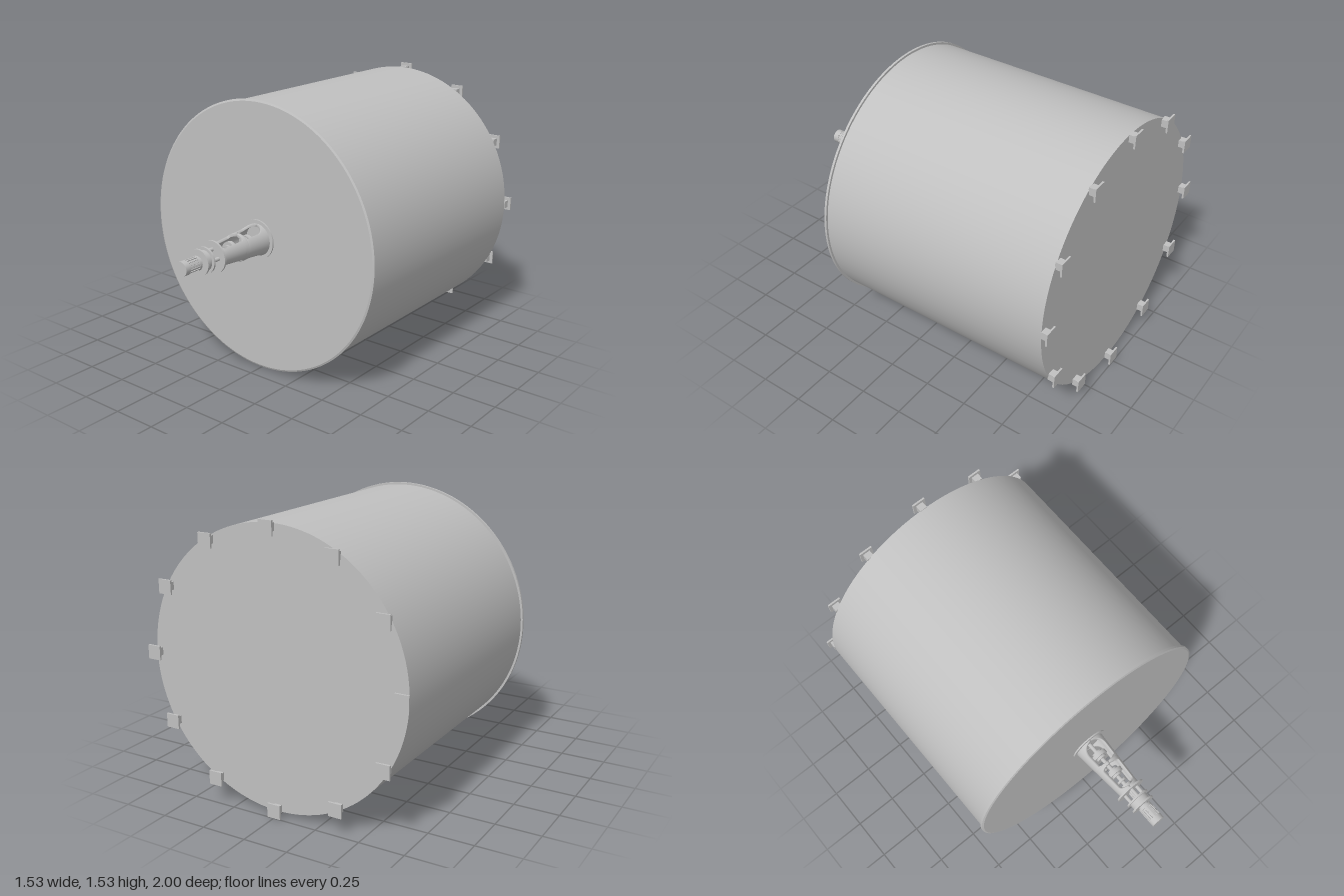
import * as THREE from 'three';

const AXIS_Y = 0.768;
const steel = new THREE.MeshStandardMaterial({ color: 0xc0c0c0 });
steel.name = 'steel grey';
steel.side = THREE.DoubleSide;

// Cylinder running along z between z0 and z1
function disc(name, r, z0, z1, segs = 40, x = 0, y = 0, rFront = r) {
  const g = new THREE.CylinderGeometry(rFront, r, z1 - z0, segs);
  g.rotateX(Math.PI / 2);
  g.translate(x, y, (z0 + z1) / 2);
  const m = new THREE.Mesh(g, steel);
  m.name = name;
  return m;
}

function box(name, w, h, d, x, y, z) {
  const m = new THREE.Mesh(new THREE.BoxGeometry(w, h, d), steel);
  m.name = name;
  m.position.set(x, y, z);
  return m;
}

// Half angle of the lantern openings at z: [start, end, start rounding, end rounding]
const WINDOWS = [[0.435, 0.577, 0.06, 0.015], [0.593, 0.75, 0.015, 0.03]];
function openingAngle(z) {
  for (const [a, b, ra, rb] of WINDOWS) {
    if (z <= a || z >= b) continue;
    const u = Math.min(1, (z - a) / ra, (b - z) / rb);
    return 0.8 * Math.sqrt(1 - (1 - u) ** 2);
  }
  return 0;
}

// One side of the tapered lantern: a C-shaped section swept along z
function lanternSide(side) {
  const z0 = 0.425, z1 = 0.768, rows = 90, arc = 20, wall = 0.014;
  const pos = [], idx = [], n = 2 * (arc + 1);
  for (let i = 0; i <= rows; i++) {
    const z = z0 + (z1 - z0) * i / rows;
    const r = 0.09 - 0.027 * i / rows;
    const w = openingAngle(z);
    for (let k = 0; k < n; k++) {
      const outer = k <= arc;
      const t = outer ? k / arc : (n - 1 - k) / arc;
      const a = w + t * (Math.PI - 2 * w);
      const q = outer ? r : r - wall;
      pos.push(side * q * Math.sin(a), q * Math.cos(a), z);
    }
  }
  for (let i = 0; i < rows; i++) {
    for (let k = 0; k < n; k++) {
      const a = i * n + k, b = i * n + (k + 1) % n, c = a + n, d = b + n;
      if (side > 0) idx.push(a, c, b, b, c, d);
      else idx.push(a, b, c, b, d, c);
    }
  }
  const g = new THREE.BufferGeometry();
  g.setAttribute('position', new THREE.Float32BufferAttribute(pos, 3));
  g.setIndex(idx);
  g.computeVertexNormals();
  const m = new THREE.Mesh(g, steel);
  m.name = side > 0 ? 'lanternSideLeft' : 'lanternSideRight';
  return m;
}

export function createModel() {
  const model = new THREE.Group();
  model.name = 'mixingTank';

  // Tank shell and lid with a bevelled rim
  const tank = new THREE.Group();
  tank.name = 'tank';
  tank.position.y = AXIS_Y;
  tank.add(
    disc('shell', 0.746, -0.955, 0.405, 128),
    disc('lidRim', 0.758, 0.402, 0.415, 128),
    disc('lidBevel', 0.758, 0.415, 0.42, 128, 0, 0, 0.748)
  );
  model.add(tank);

  // Twelve upright feet around the back rim
  const feet = new THREE.Group();
  feet.name = 'feet';
  feet.position.y = AXIS_Y;
  for (let i = 0; i < 12; i++) {
    const a = i * Math.PI / 6, x = 0.729 * Math.cos(a), y = 0.729 * Math.sin(a);
    feet.add(
      box('footPost', 0.042, 0.042, 0.04, x, y, -0.972),
      box('footPlate', 0.076, 0.076, 0.01, x, y, -0.995)
    );
  }
  model.add(feet);

  // Lantern between the lid and the drive
  const lantern = new THREE.Group();
  lantern.name = 'lantern';
  lantern.position.y = AXIS_Y;
  lantern.add(
    disc('baseFlange', 0.11, 0.418, 0.428, 48),
    lanternSide(1),
    lanternSide(-1),
    disc('topFlange', 0.088, 0.765, 0.775, 48)
  );
  model.add(lantern);

  // Shaft with two couplings
  const shaft = new THREE.Group();
  shaft.name = 'shaft';
  shaft.position.y = AXIS_Y;
  shaft.add(disc('shaftRod', 0.012, 0.42, 0.83, 20));
  for (const z of [0.512, 0.642]) {
    shaft.add(
      disc('couplingDisc', 0.047, z - 0.011, z + 0.011, 32),
      disc('couplingHub', 0.03, z - 0.024, z + 0.024, 32)
    );
  }
  shaft.add(disc('shaftCollar', 0.028, 0.695, 0.707, 24), disc('shaftSeal', 0.035, 0.73, 0.766, 24));
  model.add(shaft);

  // Drive: spacer rods, flanged gear housing and ribbed motor
  const drive = new THREE.Group();
  drive.name = 'drive';
  drive.position.y = AXIS_Y;
  for (let i = 0; i < 4; i++) {
    const a = i * Math.PI / 2;
    drive.add(disc('spacerRod', 0.011, 0.772, 0.828, 16, 0.042 * Math.cos(a), 0.042 * Math.sin(a)));
  }
  drive.add(
    disc('rearFlange', 0.07, 0.824, 0.834),
    disc('gearHousing', 0.055, 0.834, 0.867),
    disc('frontFlange', 0.07, 0.867, 0.877),
    disc('motorNeck', 0.031, 0.877, 0.89, 32),
    disc('motorBase', 0.039, 0.886, 0.9, 32),
    disc('motorCore', 0.034, 0.9, 0.97, 32),
    disc('motorCap', 0.039, 0.968, 1.0, 32)
  );
  for (let i = 0; i < 16; i++) {
    const a = (i + 0.5) * Math.PI / 8;
    const rib = box('motorRib', 0.008, 0.008, 0.07, 0.034 * Math.cos(a), 0.034 * Math.sin(a), 0.934);
    rib.rotation.z = a;
    drive.add(rib);
  }
  model.add(drive);

  return model;
}
